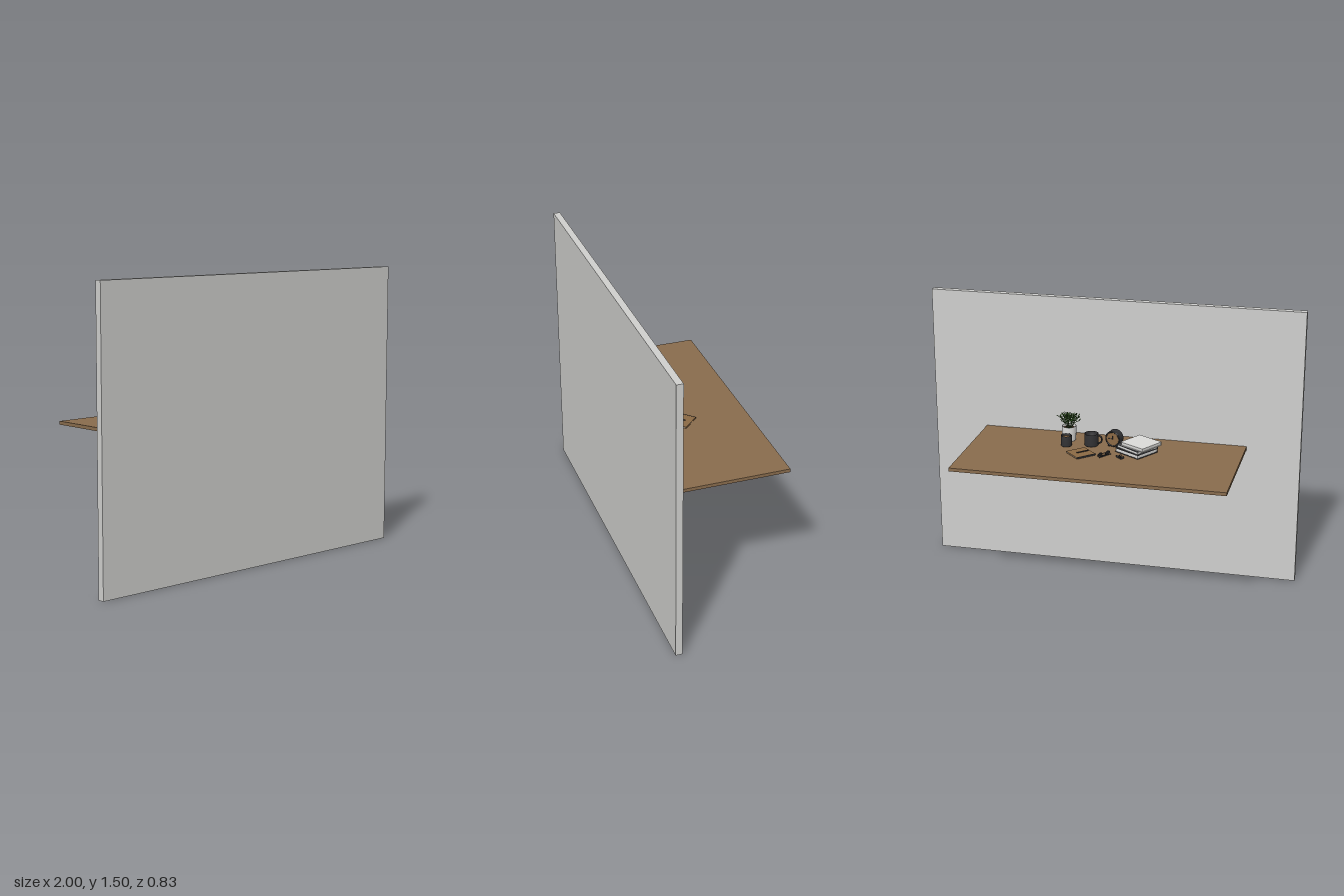
import * as THREE from 'three';

const mat = (name, color, side = THREE.FrontSide) => {
  const m = new THREE.MeshStandardMaterial({ color, side });
  m.name = name;
  return m;
};

export function createModel() {
  const M = {
    wall: mat('wall grey', 0xd0d0ce),
    wood: mat('desk wood', 0x896c4d),
    dark: mat('charcoal', 0x323234, THREE.DoubleSide),
    cover: mat('slate cover', 0x4a4b4e),
    white: mat('white', 0xdcdcda, THREE.DoubleSide),
    kraft: mat('kraft brown', 0x8c6a45),
    soil: mat('soil', 0x3a2a1c),
    leaf: mat('leaf green', 0x3c6a24, THREE.DoubleSide),
    leafDark: mat('dark leaf green', 0x2b4f1a, THREE.DoubleSide),
  };
  const root = new THREE.Group();
  root.name = 'wallDesk';
  const YAW = -0.0813, TOP = 0.753;

  const add = (parent, name, geo, m, x = 0, y = 0, z = 0, rx = 0, ry = 0, rz = 0) => {
    const mesh = new THREE.Mesh(geo, m);
    mesh.name = name;
    mesh.position.set(x, y, z);
    mesh.rotation.set(rx, ry, rz);
    parent.add(mesh);
    return mesh;
  };
  const box = (w, h, d) => new THREE.BoxGeometry(w, h, d);
  const cyl = (r1, r2, h, n = 28) => new THREE.CylinderGeometry(r1, r2, h, n);
  const lathe = (pts, n = 28) => new THREE.LatheGeometry(pts.map(p => new THREE.Vector2(...p)), n);
  // group standing on the desk top
  const item = (name, x, z, yaw = 0) => {
    const g = new THREE.Group();
    g.name = name;
    g.position.set(x, TOP, z);
    g.rotation.y = yaw;
    root.add(g);
    return g;
  };

  // wall panel and desk board
  add(root, 'wallPanel', box(2.004, 1.503, 0.035), M.wall, 0, 0.7515, 0.314, 0, YAW);
  add(root, 'deskBoard', box(1.432, 0.018, 0.657), M.wood, 0.027, 0.744, -0.031, 0, YAW);

  // potted plant
  const plant = item('plant', 0.23, 0.198);
  add(plant, 'pot', lathe([[0, 0], [0.033, 0], [0.037, 0.004], [0.039, 0.08], [0.035, 0.08], [0.034, 0.066]]), M.white);
  add(plant, 'soil', cyl(0.035, 0.035, 0.004), M.soil, 0, 0.066);
  let seed = 7;
  const rnd = () => (seed = (seed * 16807) % 2147483647) / 2147483647;
  const leafShape = new THREE.Shape();
  leafShape.moveTo(0, 0);
  leafShape.quadraticCurveTo(0.008, 0.008, 0, 0.02);
  leafShape.quadraticCurveTo(-0.008, 0.008, 0, 0);
  const leafGeo = new THREE.ShapeGeometry(leafShape, 4);
  for (let i = 0; i < 26; i++) {
    const a = i * 2.4, r = 0.062 * Math.sqrt((i + 0.5) / 26);
    const h = 0.148 - 0.035 * (r / 0.062) ** 2 + (rnd() - 0.5) * 0.016;
    const tip = new THREE.Vector3(Math.cos(a) * r, h, Math.sin(a) * r);
    const curve = new THREE.QuadraticBezierCurve3(
      new THREE.Vector3(tip.x * 0.2, 0.066, tip.z * 0.2),
      new THREE.Vector3(tip.x * 0.5, 0.11, tip.z * 0.5), tip);
    add(plant, 'stem', new THREE.TubeGeometry(curve, 5, 0.0012, 4), M.leafDark);
    for (let k = 0; k < 6; k++) {
      const p = curve.getPoint(1 - k * 0.08);
      const leaf = add(plant, 'leaf', leafGeo, (i + k) % 3 ? M.leaf : M.leafDark, p.x, p.y, p.z);
      leaf.rotation.set(0.5 + rnd() * 0.9, a + k * 2.2 + rnd(), 0, 'YXZ');
    }
  }

  // mug with handle
  const mug = item('mug', 0.1, 0.137);
  add(mug, 'mugBody', lathe([[0, 0], [0.035, 0], [0.037, 0.003], [0.037, 0.066], [0.034, 0.066], [0.034, 0.006], [0, 0.006]]), M.dark);
  add(mug, 'mugHandle', new THREE.TorusGeometry(0.021, 0.0045, 8, 20, Math.PI), M.dark, -0.035, 0.034, 0, 0, 0, Math.PI / 2);

  // candle jar
  const jar = item('candleJar', 0.23, 0.11);
  add(jar, 'jarBody', lathe([[0, 0], [0.027, 0], [0.029, 0.003], [0.029, 0.058], [0.025, 0.058], [0.025, 0.04]]), M.dark);
  add(jar, 'wax', cyl(0.0255, 0.0255, 0.004), M.kraft, 0, 0.045);

  // round desk clock
  const clock = item('clock', -0.022, 0.14, -0.33);
  add(clock, 'clockCase', cyl(0.043, 0.043, 0.04, 32), M.dark, 0, 0.046, 0, Math.PI / 2);
  for (const s of [-1, 1]) {
    add(clock, 'clockFace', cyl(0.036, 0.036, 0.002, 32), M.kraft, 0, 0.046, s * 0.0205, Math.PI / 2);
    add(clock, 'bezel', new THREE.TorusGeometry(0.039, 0.0045, 8, 32), M.dark, 0, 0.046, s * 0.02);
    add(clock, 'foot', box(0.012, 0.012, 0.03), M.dark, s * 0.024, 0.006, 0);
  }
  add(clock, 'hourHand', box(0.003, 0.018, 0.002), M.dark, 0, 0.054, -0.022);
  add(clock, 'minuteHand', box(0.026, 0.003, 0.002), M.dark, 0.012, 0.046, -0.022);

  // stack of books: width, height, depth, base, shift, yaw, cover
  const stack = item('books', -0.165, 0.067, -0.64);
  [
    [0.165, 0.022, 0.15, 0, 0.016, 0, M.dark],
    [0.16, 0.018, 0.145, 0.022, 0.012, -0.05, M.cover],
    [0.155, 0.02, 0.148, 0.04, -0.008, 0.03, M.white],
  ].forEach(([w, h, d, y, x, yaw, cover]) => {
    const book = new THREE.Group();
    book.name = 'book';
    book.position.set(x, y, -x * 0.4);
    book.rotation.y = yaw;
    stack.add(book);
    add(book, 'pages', box(w - 0.008, h - 0.004, d - 0.006), M.white, 0, h / 2, 0);
    for (const cy of [0.0015, h - 0.0015]) add(book, 'cover', box(w, 0.003, d), cover, 0, cy, 0);
    add(book, 'spine', box(w, h, 0.003), cover, 0, h / 2, d / 2 - 0.0015);
  });

  // notebook with pen
  const note = item('notebook', 0.135, 0, -0.87);
  add(note, 'notePages', box(0.107, 0.004, 0.107), M.white, 0, 0.004, 0);
  for (const y of [0.001, 0.007]) add(note, 'noteCover', box(0.112, 0.002, 0.112), M.kraft, 0, y, 0);
  add(note, 'noteSpine', box(0.003, 0.0085, 0.112), M.dark, -0.056, 0.00425, 0);
  const pen = item('pen', 0.128, 0.005, 0.69);
  add(pen, 'penBarrel', cyl(0.003, 0.003, 0.065, 10), M.dark, 0, 0.011, 0, 0, 0, Math.PI / 2);
  add(pen, 'penTip', cyl(0.0006, 0.003, 0.012, 10), M.dark, -0.0385, 0.011, 0, 0, 0, Math.PI / 2);

  // folded glasses
  const glasses = item('glasses', 0.012, -0.01, 0.8);
  for (const s of [-1, 1]) {
    add(glasses, 'lens', cyl(0.015, 0.015, 0.003, 20), M.dark, s * 0.025, 0.012, 0, 1.1);
    add(glasses, 'temple', box(0.07, 0.004, 0.003), M.dark, s * 0.006, 0.004, -0.008 - s * 0.003, 0, s * 0.12);
  }
  add(glasses, 'bridge', box(0.022, 0.003, 0.003), M.dark, 0, 0.015, 0);

  // binder clips
  [[-0.087, -0.038, 0.9], [-0.066, -0.024, -0.7]].forEach(([x, z, yaw]) => {
    const clip = item('binderClip', x, z, yaw);
    const prism = add(clip, 'clipBody', cyl(0.009, 0.009, 0.026, 3), M.dark, 0, 0.005, 0, 0, 0, Math.PI / 2);
    prism.geometry.computeVertexNormals();
    add(clip, 'clipWire', new THREE.TorusGeometry(0.008, 0.0013, 6, 14), M.dark, 0, 0.006, 0.014, 1.2);
  });

  return root;
}
